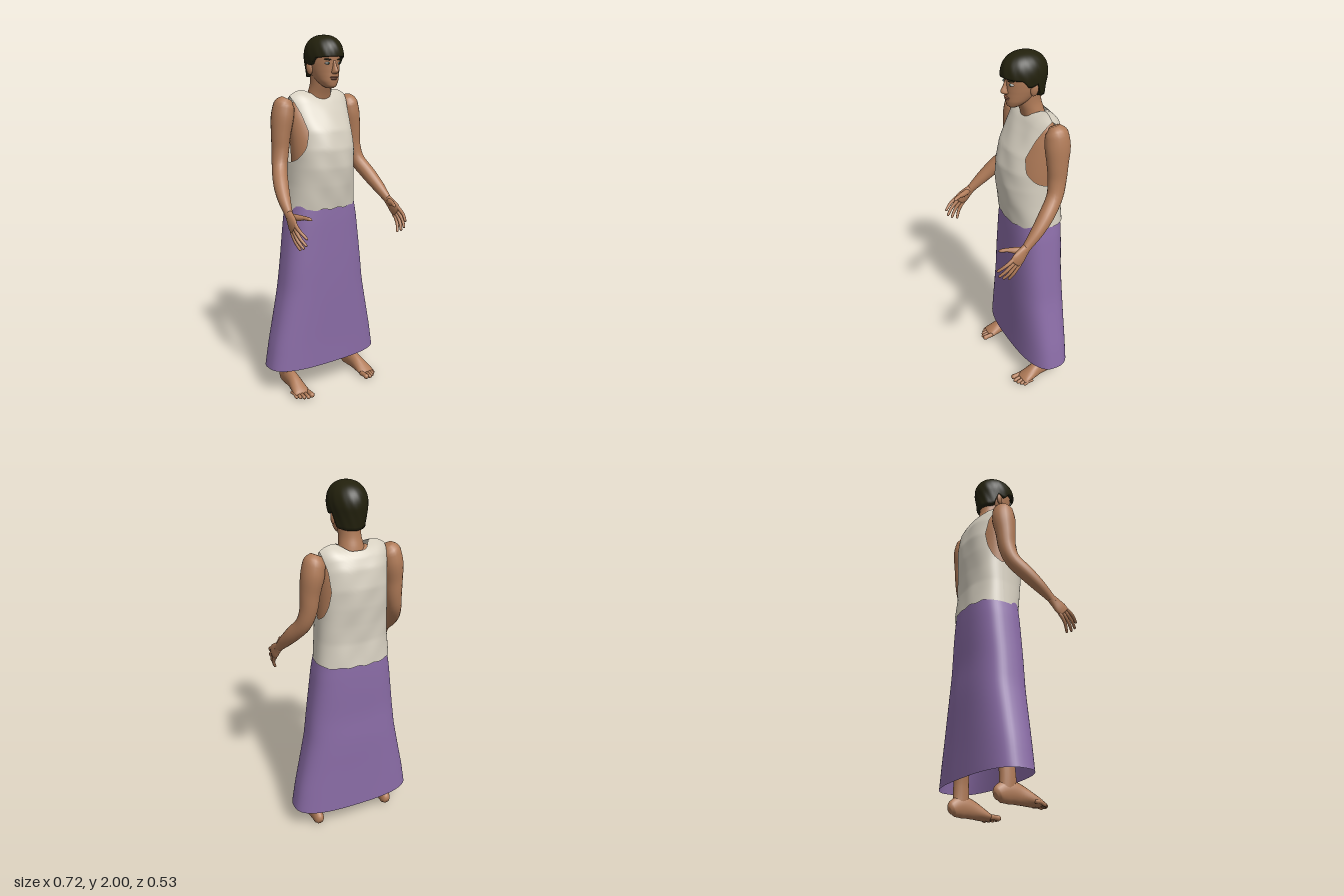
import * as THREE from 'three';
import { mergeVertices } from 'three/addons/utils/BufferGeometryUtils.js';

const mat = (name, color, side = THREE.FrontSide) => {
  const m = new THREE.MeshStandardMaterial({ color, side });
  m.name = name;
  return m;
};

// Linear lookup in a table of [key, value] pairs
function lookup(t, k) {
  if (k <= t[0][0]) return t[0][1];
  for (let i = 1; i < t.length; i++) {
    if (k <= t[i][0]) {
      const f = (k - t[i - 1][0]) / (t[i][0] - t[i - 1][0]);
      return t[i - 1][1] + f * (t[i][1] - t[i - 1][1]);
    }
  }
  return t[t.length - 1][1];
}

// Smooth surface from fn(u, v) -> [x, y, z]
function grid(nu, nv, fn) {
  const pos = [], idx = [];
  for (let j = 0; j <= nv; j++) for (let i = 0; i <= nu; i++) pos.push(...fn(i / nu, j / nv));
  for (let j = 0; j < nv; j++) for (let i = 0; i < nu; i++) {
    const a = j * (nu + 1) + i, c = a + nu + 1;
    idx.push(a, a + 1, c, a + 1, c + 1, c);
  }
  let g = new THREE.BufferGeometry();
  g.setAttribute('position', new THREE.Float32BufferAttribute(pos, 3));
  g.setIndex(idx);
  g = mergeVertices(g, 1e-5);
  g.computeVertexNormals();
  return g;
}

// Loft along sections [x, y, z, radiusU, radiusV]; axis fixes the section plane
function loft(secs, { n = 20, p = 2, axis = null, caps = true, floor = -1 } = {}) {
  const path = new THREE.CatmullRomCurve3(secs.map(s => new THREE.Vector3(s[0], s[1], s[2])));
  const radii = new THREE.CatmullRomCurve3(secs.map(s => new THREE.Vector3(s[3], s[4], 0)));
  const steps = (secs.length - 1) * 4, pad = caps ? 1 : 0, X = new THREE.Vector3(1, 0, 0);
  const pw = c => Math.sign(c) * Math.abs(c) ** (2 / p);
  return grid(n, steps + 2 * pad, (a, b) => {
    const row = Math.round(b * (steps + 2 * pad)) - pad;
    const t = Math.min(1, Math.max(0, row / steps));
    const k = row < 0 || row > steps ? 0 : 1;
    const T = axis || path.getTangent(t);
    const v = new THREE.Vector3().crossVectors(T, X).normalize();
    const u = new THREE.Vector3().crossVectors(v, T);
    const r = radii.getPoint(t), ang = (a % 1) * Math.PI * 2;
    const q = path.getPoint(t).addScaledVector(u, k * r.x * pw(Math.cos(ang)))
      .addScaledVector(v, k * r.y * pw(Math.sin(ang)));
    return [q.x, Math.max(q.y, floor), q.z];
  });
}

// Upright loft from rows [y, halfWidth, zFront, zBack]
const UP = new THREE.Vector3(0, 1, 0);
const upright = (rows, o = {}) =>
  loft(rows.map(([y, w, f, b]) => [0, y, (f + b) / 2, w, (f - b) / 2]), { n: 36, axis: UP, ...o });

export function createModel() {
  const root = new THREE.Group();
  const skin = mat('skin', 0xb07b58), hairMat = mat('hair', 0x23210d, THREE.DoubleSide);
  const cream = mat('creamCloth', 0xd6cfc0, THREE.DoubleSide);
  const purple = mat('purpleCloth', 0x8a6ca6, THREE.DoubleSide);
  const white = mat('eyeWhite', 0xd8d4cc), teal = mat('iris', 0x4f7f7c), lipMat = mat('lips', 0x94604a);
  const add = (name, geo, m, parent = root) => {
    const mesh = new THREE.Mesh(geo, m);
    mesh.name = name;
    parent.add(mesh);
    return mesh;
  };
  const ball = (name, m, c, s, parent = root) => {
    const b = add(name, new THREE.SphereGeometry(1, 18, 12), m, parent);
    b.position.set(...c);
    b.scale.set(...s);
    return b;
  };

  // Long skirt, open at the hem
  add('skirt', upright([
    [0.145, 0.358, 0.026, -0.256], [0.28, 0.335, 0.026, -0.255], [0.42, 0.305, 0.028, -0.255],
    [0.6, 0.268, 0.03, -0.255], [0.75, 0.249, 0.03, -0.25], [0.9, 0.23, 0.028, -0.252],
    [1.0, 0.217, 0.026, -0.252], [1.09, 0.2, 0.022, -0.25],
  ], { n: 64, p: 2.7, caps: false }), purple);

  // Torso and neck
  add('torso', upright([
    [1.0, 0.17, 0, -0.23], [1.2, 0.172, 0.02, -0.232], [1.35, 0.178, 0.03, -0.235],
    [1.45, 0.18, 0.012, -0.235], [1.55, 0.18, -0.025, -0.23], [1.62, 0.17, -0.065, -0.21],
    [1.665, 0.13, -0.085, -0.185], [1.69, 0.06, -0.09, -0.16],
  ]), skin);
  add('neck', upright([
    [1.64, 0.08, -0.07, -0.19], [1.69, 0.064, -0.055, -0.18], [1.74, 0.057, -0.035, -0.165],
    [1.8, 0.058, -0.02, -0.16],
  ]), skin);

  // Sleeveless shirt: front and back panels that part at the armholes
  const frontZ = [[1.07, 0.034], [1.2, 0.055], [1.3, 0.066], [1.4, 0.063], [1.5, 0.035], [1.6, -0.022],
    [1.66, -0.06], [1.69, -0.09], [1.71, -0.132]];
  const backZ = [[1.07, -0.262], [1.2, -0.25], [1.3, -0.254], [1.4, -0.262], [1.5, -0.264], [1.6, -0.247],
    [1.66, -0.218], [1.69, -0.185], [1.71, -0.132]];
  const full = [[1.07, 0.208], [1.2, 0.196], [1.33, 0.19]];
  const cutFront = [...full, [1.36, 0.178], [1.42, 0.155], [1.5, 0.141], [1.6, 0.155], [1.7, 0.18]];
  const cutBack = [...full, [1.36, 0.18], [1.42, 0.165], [1.5, 0.155], [1.6, 0.162], [1.7, 0.18]];
  const panel = (profile, cut, dip, dir) => grid(40, 48, (u, v) => {
    const s = Math.sin((u - 0.5) * Math.PI) * dir;
    const nx = Math.abs(s) * 0.18;
    const neck = dip * (1 - THREE.MathUtils.smoothstep(nx, 0.03, 0.1));
    const Y = 1.07 + v * (0.64 - neck);
    const W = lookup(full, Y), x = lookup(cut, Y) * s;
    const bulge = Math.max(0, 1 - Math.abs(x / W) ** 2.4) ** (1 / 2.4);
    const fold = 0.003 * Math.sin(x * 38 + Y * 9) * Math.sin(Y * 21) * bulge;
    const drop = 0.028 * Math.max(0, (nx - 0.11) / 0.07) ** 2 * v ** 4;
    const hem = 0.004 * Math.sin(x * 70) * (1 - v) ** 8;
    return [x, Y - drop + hem, -0.132 + (lookup(profile, Y) + 0.132) * bulge + fold];
  });
  add('shirtFront', panel(frontZ, cutFront, 0.034, 1), cream);
  add('shirtBack', panel(backZ, cutBack, 0.03, -1), cream);

  // Head
  const head = new THREE.Group();
  head.name = 'head';
  root.add(head);
  add('face', upright([
    [1.723, 0.018, 0.012, -0.03], [1.735, 0.036, 0.024, -0.06], [1.76, 0.055, 0.029, -0.1],
    [1.79, 0.067, 0.03, -0.14], [1.82, 0.075, 0.031, -0.165], [1.86, 0.08, 0.033, -0.178],
    [1.9, 0.08, 0.035, -0.178], [1.95, 0.07, 0.01, -0.16], [1.98, 0.03, -0.03, -0.11],
  ]), skin, head);
  add('nose', upright([
    [1.797, 0.008, 0.04, 0.01], [1.805, 0.018, 0.055, 0.01], [1.815, 0.016, 0.06, 0.01],
    [1.84, 0.01, 0.048, 0.01], [1.868, 0.009, 0.036, 0.01],
  ], { n: 16 }), skin, head);
  ball('upperLip', lipMat, [0, 1.781, 0.026], [0.024, 0.005, 0.011], head);
  ball('lowerLip', lipMat, [0, 1.772, 0.025], [0.02, 0.006, 0.011], head);
  for (const s of [1, -1]) {
    ball('eye', white, [s * 0.034, 1.854, 0.013], [0.015, 0.0075, 0.015], head);
    ball('iris', teal, [s * 0.034, 1.854, 0.022], [0.0065, 0.0065, 0.008], head);
    ball('pupil', hairMat, [s * 0.034, 1.854, 0.0275], [0.003, 0.003, 0.0035], head);
    const brow = ball('eyebrow', hairMat, [s * 0.036, 1.873, 0.021], [0.021, 0.004, 0.011], head);
    brow.rotation.set(0, s * 0.35, s * 0.1);
    const ear = ball('ear', skin, [s * 0.084, 1.825, -0.083], [0.011, 0.033, 0.02], head);
    ear.rotation.set(-0.15, s * -0.3, s * -0.12);
  }

  // Short hair: a cap whose lower edge follows the hairline, with a turned-in lip
  const hairline = [[-1, 1.775], [-0.45, 1.785], [-0.22, 1.855], [0, 1.845], [0.2, 1.845], [0.4, 1.88], [1, 1.888]];
  add('hair', grid(56, 25, (u, v) => {
    const a = (u % 1) * Math.PI * 2, d = -Math.sin(a), low = lookup(hairline, d);
    const t = Math.max(0, (v * 25 - 1) / 24);
    const y = 2 - (2 - low) * (1 - t) ** 1.9;
    const h = (y - 1.885) / 0.115;
    let r = h > 0 ? Math.max(0, 1 - h ** 2.3) ** (1 / 2.3) : 1 + h * 0.14;
    if (v === 0) r *= 0.74;
    r *= 1 + 0.01 * Math.sin(a * 14 + y * 60) * (1 - t);
    return [0.1 * r * Math.cos(a), y, -0.07 + 0.125 * r * d];
  }), hairMat, head);

  // Arms, hands, legs and feet; the right side mirrors the left
  const mirrored = g => {
    const m = g.clone().scale(-1, 1, 1), ix = m.index.array;
    for (let i = 0; i < ix.length; i += 3) [ix[i], ix[i + 1]] = [ix[i + 1], ix[i]];
    m.computeVertexNormals();
    return m;
  };
  const pair = (name, geo) => {
    const cap = name[0].toUpperCase() + name.slice(1);
    add('left' + cap, geo, skin);
    add('right' + cap, mirrored(geo), skin);
  };
  pair('arm', loft([
    [0.195, 1.668, -0.135, 0.03, 0.03], [0.21, 1.635, -0.14, 0.056, 0.06], [0.222, 1.57, -0.142, 0.06, 0.068],
    [0.235, 1.48, -0.138, 0.052, 0.058], [0.243, 1.39, -0.134, 0.046, 0.05], [0.262, 1.305, -0.112, 0.042, 0.044],
    [0.295, 1.225, -0.045, 0.041, 0.042], [0.318, 1.155, 0.025, 0.034, 0.034], [0.331, 1.095, 0.088, 0.021, 0.025],
    [0.335, 1.075, 0.108, 0.018, 0.025],
  ]));
  pair('palm', loft([
    [0.331, 1.095, 0.088, 0.02, 0.025], [0.336, 1.07, 0.117, 0.018, 0.034],
    [0.341, 1.045, 0.143, 0.016, 0.041], [0.344, 1.024, 0.165, 0.011, 0.038],
  ]));
  const fingers = [
    [[1.045, 0.185], [1.022, 0.222], [0.995, 0.255]], [[1.026, 0.175], [0.99, 0.215], [0.958, 0.246]],
    [[1.01, 0.162], [0.97, 0.195], [0.937, 0.222]], [[0.997, 0.146], [0.96, 0.17], [0.922, 0.19]],
  ];
  fingers.forEach(([a, b, c], i) => pair('finger' + (i + 1), loft([
    [0.342, a[0] + 0.012, a[1] - 0.014, 0.009, 0.01], [0.344, ...a, 0.01, 0.011], [0.341, ...b, 0.009, 0.009],
    [0.326, ...c, 0.007, 0.007], [0.324, c[0] - 0.003, c[1] + 0.003, 0.003, 0.003],
  ], { n: 12 })));
  pair('thumb', loft([
    [0.33, 1.085, 0.105, 0.014, 0.016], [0.312, 1.082, 0.145, 0.016, 0.017], [0.295, 1.085, 0.18, 0.011, 0.011],
    [0.281, 1.082, 0.21, 0.01, 0.009], [0.275, 1.078, 0.222, 0.004, 0.004],
  ], { n: 12 }));
  pair('leg', loft([
    [0.15, 0.75, -0.11, 0.06, 0.065], [0.185, 0.5, -0.11, 0.05, 0.055], [0.208, 0.34, -0.13, 0.046, 0.054],
    [0.222, 0.18, -0.125, 0.032, 0.043], [0.225, 0.11, -0.122, 0.031, 0.045], [0.225, 0.05, -0.125, 0.03, 0.045],
  ]));
  pair('foot', loft([
    [0.222, 0.032, -0.188, 0.016, 0.02], [0.222, 0.042, -0.172, 0.029, 0.042], [0.224, 0.058, -0.12, 0.033, 0.058],
    [0.226, 0.05, -0.06, 0.036, 0.05], [0.23, 0.032, 0, 0.045, 0.034], [0.232, 0.02, 0.038, 0.049, 0.022],
    [0.234, 0.015, 0.056, 0.044, 0.014],
  ], { floor: 0 }));
  const toes = [[0.196, 0.1, 0.0155], [0.221, 0.1, 0.011], [0.242, 0.09, 0.0105], [0.26, 0.076, 0.01], [0.276, 0.06, 0.0095]];
  toes.forEach(([x, z, r], i) => pair('toe' + (i + 1), loft([
    [x, 0.018, z - 0.06, r * 0.9, r], [x, 0.018, z - 0.03, r * 0.85, r * 0.9], [x, r, z - 0.008, r, r],
    [x, r * 0.9, z + 0.003, r * 0.5, r * 0.5],
  ], { n: 12, floor: 0 })));
  return root;
}
